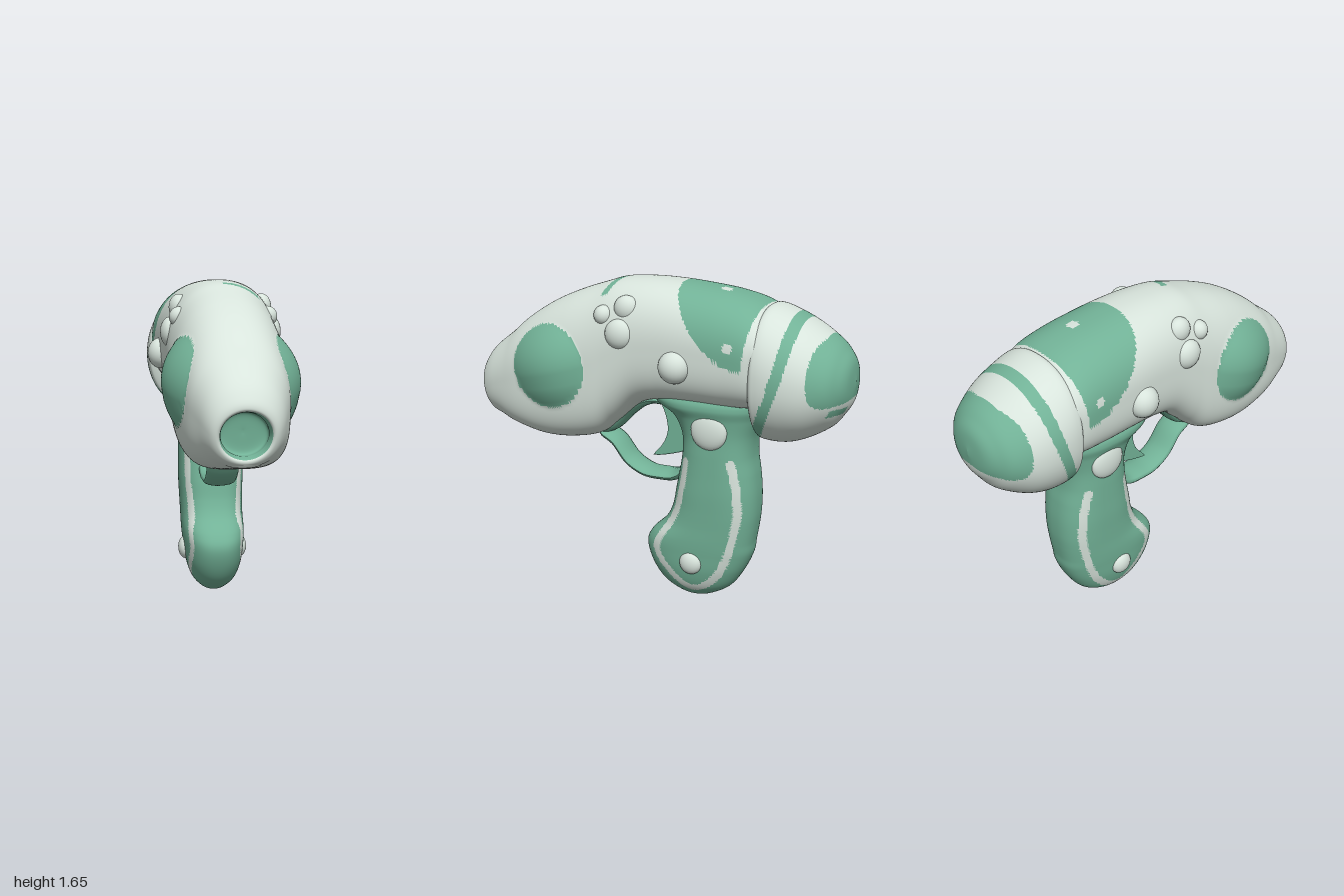
import * as THREE from 'three';

const pale = new THREE.MeshStandardMaterial({ color: 0xd8e4dc });
pale.name = 'paleGrey';
const green = new THREE.MeshStandardMaterial({ color: 0x72b297 });
green.name = 'seaGreen';

// Loft of superellipse sections [axis position, low, high, half width, exponent, lower exponent].
// place(x, s, a) maps section to space; paint(p, t) true selects the second material.
function loft(name, rows, steps, sides, mats, place, paint, flip = false) {
  const curve = pick => new THREE.CatmullRomCurve3(rows.map(r => new THREE.Vector3(...pick(r))), false, 'catmullrom', 0.5);
  const extents = curve(r => [r[0], r[1], r[2]]);
  const widths = curve(r => [r[3], r[4], r[5] ?? r[4]]);
  const pts = [];
  for (let i = 0; i <= steps; i++) {
    const t = i / steps, e = extents.getPoint(t), w = widths.getPoint(t);
    for (let j = 0; j < sides; j++) {
      const q = (j / sides) * Math.PI * 2;
      const power = 2 / (j > sides / 2 ? w.z : w.y), bend = v => Math.sign(v) * Math.abs(v) ** power;
      const x = Math.max(w.x, 0) * bend(Math.cos(q));
      const s = (e.y + e.z) / 2 + (e.z - e.y) / 2 * bend(Math.sin(q));
      pts.push(place(x, s, e.x));
    }
  }
  const faces = [[], []], mid = new THREE.Vector3();
  for (let i = 0; i < steps; i++) for (let j = 0; j < sides; j++) {
    const a = i * sides + j, b = i * sides + (j + 1) % sides, c = a + sides, d = b + sides;
    for (const [k, l, m] of [[a, b, d], [a, d, c]]) {
      mid.copy(pts[k]).add(pts[l]).add(pts[m]).divideScalar(3);
      faces[paint(mid, (i + 0.5) / steps) ? 1 : 0].push(...(flip ? [k, m, l] : [k, l, m]));
    }
  }
  const geo = new THREE.BufferGeometry().setFromPoints(pts);
  geo.setIndex(faces[0].concat(faces[1]));
  geo.addGroup(0, faces[0].length, 0);
  geo.addGroup(faces[0].length, faces[1].length, 1);
  geo.computeVertexNormals();
  const mesh = new THREE.Mesh(geo, mats);
  mesh.name = name;
  return mesh;
}

// Squared distance from a side disc's centre, 1 at its rim
const discR = (y, z) => ((y - 1.2) ** 2 + (z - 0.52) ** 2) / 0.21 ** 2;

function makeBody() {
  const rows = [
    [-0.62, 1.2, 1.3, 0, 2.2], [-0.6, 1.12, 1.5, 0.25, 2.2, 2.6], [-0.55, 1.07, 1.57, 0.287, 2.3, 2.9],
    [-0.4, 1.06, 1.615, 0.29, 2.3, 3], [-0.2, 1.06, 1.64, 0.285, 2.3, 3], [-0.05, 1.055, 1.65, 0.278, 2.3, 3],
    [0.08, 1.02, 1.65, 0.273, 2.3, 3], [0.2, 0.92, 1.64, 0.273, 2.3, 3.2], [0.3, 0.84, 1.61, 0.275, 2.3, 3.5],
    [0.45, 0.805, 1.558, 0.272, 2.3, 3.6], [0.6, 0.8, 1.488, 0.257, 2.3, 3.6], [0.75, 0.825, 1.388, 0.235, 2.3, 3.3],
    [0.88, 0.855, 1.265, 0.195, 2.2, 2.7], [0.95, 0.865, 1.18, 0.163, 2.1, 2.3], [0.975, 0.88, 1.14, 0.138, 2],
    // muzzle turns inward to a recessed bore
    [0.97, 0.9, 1.12, 0.118, 2], [0.93, 0.91, 1.11, 0.108, 2], [0.88, 0.92, 1.1, 0.1, 2], [0.87, 1.01, 1.02, 0, 2],
  ];
  const place = (x, y, z) => {
    const r = discR(y, z);
    if (r < 1) x += Math.sign(x) * 0.06 * (1 - r);
    z += 0.2 * (y - 1.02) * THREE.MathUtils.smoothstep(z, 0.8, 0.97);
    return new THREE.Vector3(x, y, z);
  };
  const paint = (p, t) => {
    const bore = t > 15 / 18;
    const disc = discR(p.y, p.z) < 1;
    const saddle = p.z > -0.52 - 0.14 * (p.y - 1.28) && p.z < -0.13
      && p.y > 1.28 + 0.37 * ((p.z + 0.52) / 0.39) ** 2;
    const specks = Math.hypot(p.y - 1.39, p.z + 0.455) < 0.024
      || Math.hypot(p.x - 0.025, p.z + 0.35) < 0.03 && p.y > 1.5;
    const dash = p.y > 1.5 && p.x > 0 && p.x < 0.17 && Math.abs(p.z - 0.2 - 0.25 * p.x) < 0.018;
    return bore || disc || (saddle && !specks) || dash;
  };
  return loft('body', rows, 252, 128, [pale, green], place, paint);
}

function makeBulb() {
  const rows = [
    [-1, 1.21, 1.23, 0, 2], [-0.985, 1.12, 1.32, 0.11, 2], [-0.95, 1.06, 1.375, 0.18, 2],
    [-0.9, 1.0, 1.425, 0.235, 2], [-0.8, 0.94, 1.49, 0.285, 2.1], [-0.7, 0.905, 1.54, 0.306, 2.1],
    [-0.6, 0.905, 1.57, 0.305, 2.2], [-0.56, 0.925, 1.545, 0.285, 2.2], [-0.53, 1.0, 1.47, 0.2, 2], [-0.5, 1.2, 1.25, 0, 2],
  ];
  const paint = p => {
    const ring = Math.abs(p.z + 0.735 - 0.5 * (1.54 - p.y) ** 2) < 0.028;
    const cap = ((p.z + 0.97) / 0.135) ** 4 + ((p.y - 1.305 + 0.1 * Math.abs(p.x)) / 0.15) ** 4 < 1;
    const spot = p.z < -0.85 && Math.abs(p.y - 1.1) < 0.018 && Math.abs(p.x - 0.12) < 0.06;
    return ring || cap || spot;
  };
  return loft('rearBulb', rows, 117, 96, [pale, green], (x, y, z) => new THREE.Vector3(x, y, z), paint);
}

function makeGrip() {
  const rows = [
    [0, -0.21, -0.19, 0, 2], [0.02, -0.29, -0.11, 0.06, 2], [0.08, -0.39, -0.02, 0.115, 2.2],
    [0.17, -0.455, 0.04, 0.145, 2.4], [0.27, -0.5, 0.068, 0.157, 2.5], [0.34, -0.51, 0.04, 0.162, 2.6],
    [0.42, -0.522, -0.04, 0.163, 2.6], [0.5, -0.53, -0.08, 0.166, 2.6], [0.6, -0.53, -0.1, 0.17, 2.6],
    [0.7, -0.52, -0.12, 0.17, 2.6], [0.8, -0.505, -0.135, 0.17, 2.6], [0.9, -0.51, -0.13, 0.17, 2.6],
    [0.99, -0.54, -0.08, 0.182, 2.5], [1.05, -0.565, 0.01, 0.2, 2.5], [1.1, -0.56, 0.04, 0.185, 2.5],
    [1.18, -0.5, 0, 0.12, 2.3],
  ];
  // U-shaped pinstripe in side view (z, y)
  const stripe = new THREE.SplineCurve([
    [-0.185, 0.76], [-0.165, 0.62], [-0.12, 0.46], [-0.025, 0.29], [-0.08, 0.18], [-0.22, 0.075],
    [-0.37, 0.19], [-0.455, 0.45], [-0.46, 0.62], [-0.43, 0.78],
  ].map(p => new THREE.Vector2(...p))).getPoints(120);
  const paint = p => stripe.some(s => (s.x - p.z) ** 2 + (s.y - p.y) ** 2 < 0.02 ** 2);
  return loft('grip', rows, 168, 96, [green, pale], (x, z, y) => new THREE.Vector3(x, y, z), paint, true);
}

export function createModel() {
  const model = new THREE.Group();
  model.add(makeBody(), makeBulb(), makeGrip());
  const add = (name, geo, mat) => {
    const mesh = new THREE.Mesh(geo, mat);
    mesh.name = name;
    model.add(mesh);
    return mesh;
  };

  // Trigger guard: a closed loop widened into a band
  const loop = [
    [0.32, 0.835], [0.25, 0.785], [0.17, 0.69], [0.08, 0.642], [0, 0.635], [-0.09, 0.645], [-0.17, 0.72],
    [-0.19, 0.88], [-0.1, 1.0], [0, 1.035], [0.09, 1.015], [0.18, 0.95], [0.26, 0.87],
  ].map(([z, y]) => new THREE.Vector3(0, y, z));
  const guard = new THREE.TubeGeometry(new THREE.CatmullRomCurve3(loop, true), 80, 0.028, 14, true);
  guard.scale(2.9, 1, 1);
  guard.computeVertexNormals();
  add('triggerGuard', guard, green);

  // Trigger
  const shape = new THREE.Shape();
  shape.moveTo(-0.17, 1.03);
  shape.lineTo(-0.17, 0.8);
  shape.quadraticCurveTo(-0.07, 0.76, 0.025, 0.745);
  shape.quadraticCurveTo(-0.05, 0.81, -0.055, 0.89);
  shape.quadraticCurveTo(-0.05, 0.97, -0.01, 1.03);
  shape.closePath();
  const trigger = new THREE.ExtrudeGeometry(shape, {
    depth: 0.07, bevelEnabled: true, bevelSize: 0.008, bevelThickness: 0.02, bevelSegments: 3, curveSegments: 10,
  });
  trigger.translate(0, 0, -0.035).rotateY(-Math.PI / 2);
  add('trigger', trigger, green);

  // Domed studs mirrored on both sides: x, y, z, depth, radius
  const studs = [
    ['bodyStud', 0.27, 1.27, -0.18, 0.07, 0.08], ['upperStud', 0.25, 1.4, 0.12, 0.05, 0.075],
    ['topStud', 0.205, 1.52, 0.1, 0.05, 0.065], ['frontStud', 0.215, 1.48, 0.22, 0.05, 0.05],
    ['neckStud', 0.165, 0.94, -0.32, 0.035, 0.095], ['gripStud', 0.145, 0.225, -0.22, 0.038, 0.06],
  ];
  for (const side of [1, -1]) for (const [name, x, y, z, depth, r] of studs) {
    const stud = add(name, new THREE.SphereGeometry(1, 24, 16), pale);
    stud.scale.set(depth, r, r);
    stud.position.set(side * x, y, z);
  }

  // Small lip below the muzzle
  const lip = add('muzzleLip', new THREE.SphereGeometry(1, 20, 12), pale);
  lip.scale.set(0.09, 0.025, 0.06);
  lip.position.set(0, 0.88, 0.885);
  return model;
}
